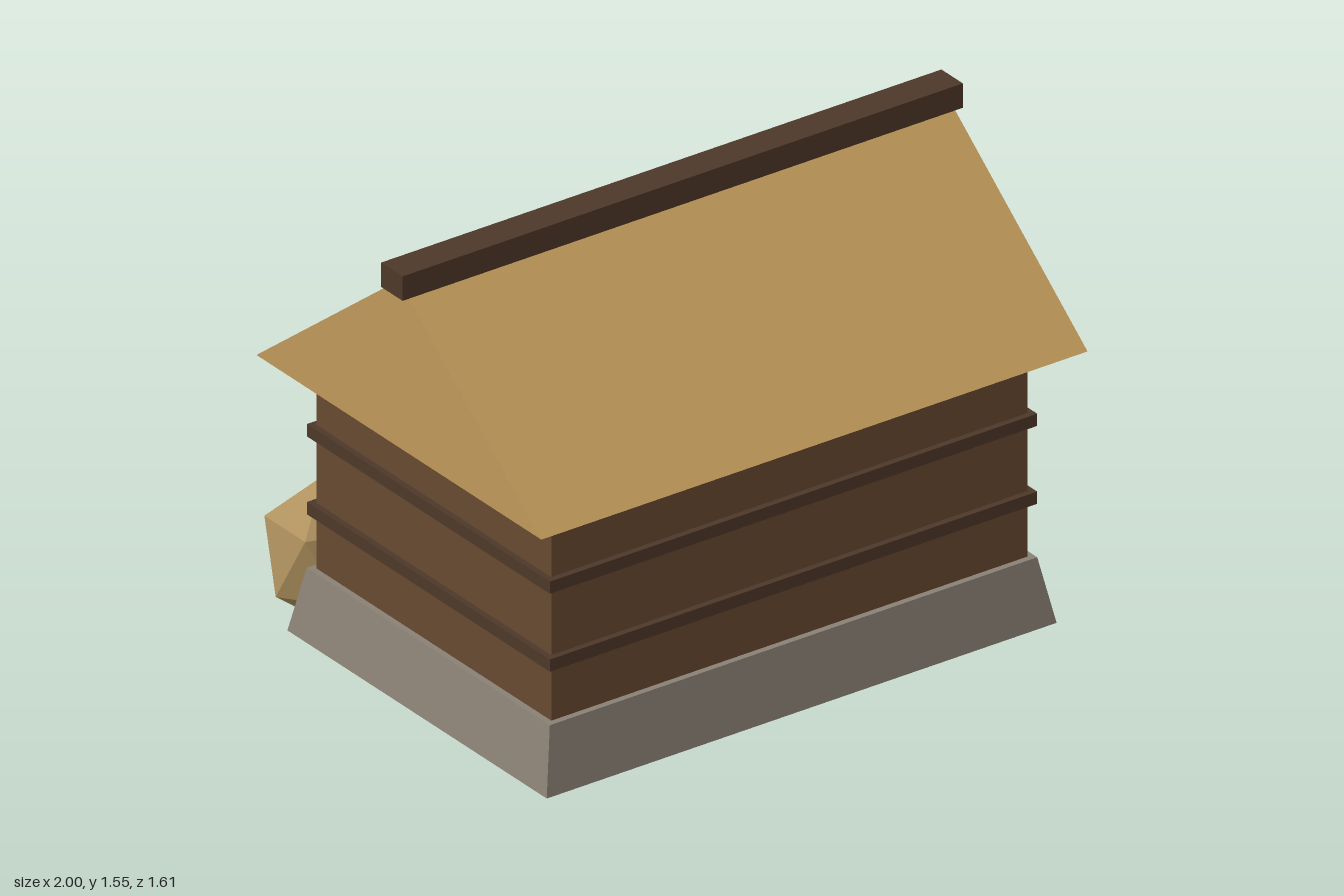
import * as THREE from 'three';

const material = (color) => new THREE.MeshStandardMaterial({ color, flatShading: true });

export function createModel() {
  const model = new THREE.Group();
  const stone = material(0x8a8175);
  const wood = material(0x684a31);
  const darkWood = material(0x4e3829);
  const thatch = material(0xc0995a);
  const foliage = material(0xb0925f);
  const midZ = 0.105; // the cabin sits forward, leaving room for the bushes behind

  function add(name, geometry, mat, x, y, z) {
    const mesh = new THREE.Mesh(geometry, mat);
    mesh.name = name;
    mesh.position.set(x, y, z);
    model.add(mesh);
    return mesh;
  }

  // Box given by its bottom and top heights
  const block = (name, mat, w, y0, y1, d, z = midZ) =>
    add(name, new THREE.BoxGeometry(w, y1 - y0, d), mat, 0, (y0 + y1) / 2, z);

  // Stone base, tapering inwards to the top
  const base = block('stoneBase', stone, 1.82, 0.07, 0.28, 1.27);
  const pos = base.geometry.attributes.position;
  for (let i = 0; i < pos.count; i++) {
    if (pos.getY(i) > 0) {
      pos.setX(i, Math.sign(pos.getX(i)) * 0.87);
      pos.setZ(i, Math.sign(pos.getZ(i)) * 0.595);
    }
  }
  base.geometry.computeVertexNormals();

  // Walls and the beams running round them
  block('walls', wood, 1.7, 0.27, 0.97, 1.15);
  for (const y of [0.475, 0.73]) block('wallBeam', darkWood, 1.74, y - 0.02, y + 0.02, 1.19);

  // Door in the back wall
  block('door', darkWood, 0.38, 0.27, 0.75, 0.05, -0.485);

  // Gabled roof: a triangle in z and y, extruded along x
  const gable = new THREE.Shape();
  gable.moveTo(-0.6975, 0.965);
  gable.lineTo(0.6975, 0.965);
  gable.lineTo(0, 1.512);
  gable.closePath();
  const roof = new THREE.ExtrudeGeometry(gable, { depth: 1.95, bevelEnabled: false });
  roof.translate(0, 0, -0.975).rotateY(Math.PI / 2);
  add('roof', roof, thatch, 0, 0, midZ);
  block('ridgeBeam', darkWood, 2, 1.475, 1.555, 0.105);

  // Bushes: icosahedrons standing on a corner, [x, y, z, height radius, turn in degrees]
  const bushes = [
    [0.735, 0.2425, -0.6, 0.2375, 40],
    [-0.72, 0.2425, -0.615, 0.2375, 36],
    [-0.515, 0.2225, -0.645, 0.2075, 40],
  ];
  const tilt = Math.atan(2 / (1 + Math.sqrt(5)));
  for (const [x, y, z, r, turn] of bushes) {
    const bush = new THREE.IcosahedronGeometry(1, 0);
    bush.rotateZ(tilt).rotateY(THREE.MathUtils.degToRad(turn)).scale(0.19, r, 0.19);
    add('bush', bush, foliage, x, y, z);
  }

  return model;
}
